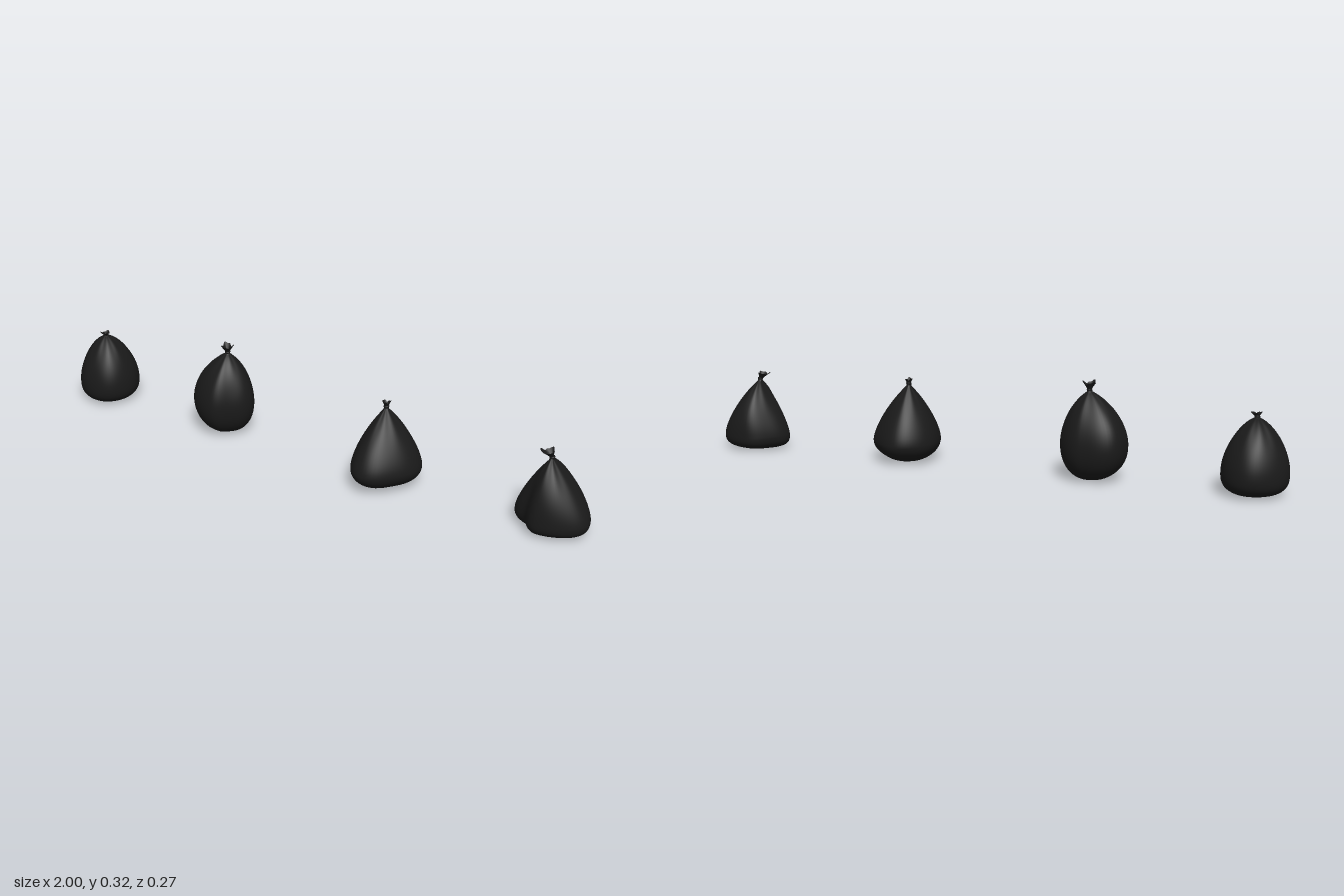
import * as THREE from 'three';

// Each bag: neck position, belly and neck heights, base roundness, reach from the neck
// [right, left, front, back], fullness at the four diagonals (+x+z, -x+z, -x-z, +x-z),
// shoulder taper seen from the front and from the side, and tuft [radius, height, lean x, lean z].
const BAGS = [
  { name: 'bagFarRight', x: -0.89, z: -0.02, belly: 0.07, neck: 0.242, base: 3,
    reach: [0.104, 0.107, 0.1, 0.118], diag: [1.02, 0.96, 0.98, 1.02],
    sideTaper: [1.8, 0.7], depthTaper: [1.8, 0.7], tuft: [0.016, 0.013, 0.004, 0.006] },
  { name: 'bagInnerRight', x: -0.357, z: -0.04, belly: 0.115, neck: 0.29, base: 2.2,
    reach: [0.095, 0.126, 0.11, 0.094], diag: [0.87, 1, 1.12, 0.92],
    sideTaper: [1.9, 0.8], depthTaper: [1.9, 0.8], tuft: [0.021, 0.027, 0, 0.002] },
  { name: 'bagInnerLeft', x: 0.29, z: -0.015, belly: 0.07, neck: 0.263, base: 2.1,
    reach: [0.125, 0.101, 0.15, 0.122], diag: [0.9, 0.96, 1, 0.93],
    sideTaper: [1.5, 0.95], depthTaper: [1.5, 0.95], tuft: [0.013, 0.018, 0, 0] },
  { name: 'bagFarLeft', x: 0.865, z: -0.02, belly: 0.05, neck: 0.242, base: 3,
    reach: [0.134, 0.108, 0.09, 0.112], diag: [0.98, 0.76, 0.88, 1],
    sideTaper: [1.4, 0.95], depthTaper: [2.1, 0.8], tuft: [0.021, 0.022, -0.012, 0.006] },
];
const BASE_SHARE = 0.4; // share of the rings lying below the belly
const NECK_RADIUS = 0.008;

// Skin closed rings; pointAt(t, angle) gives the surface, t running from bottom to top
function loft(rings, sides, pointAt) {
  const pos = [], index = [];
  for (let i = 0; i <= rings; i++) {
    for (let j = 0; j < sides; j++) {
      pos.push(...pointAt(i / rings, (j / sides) * Math.PI * 2));
      if (i === rings) continue;
      const a = i * sides + j, b = i * sides + (j + 1) % sides;
      index.push(a, a + sides, b, b, a + sides, b + sides);
    }
  }
  const geo = new THREE.BufferGeometry();
  geo.setAttribute('position', new THREE.Float32BufferAttribute(pos, 3));
  geo.setIndex(index);
  geo.computeVertexNormals();
  return geo;
}

// Height of a ring, and its width as a share of the reach in both directions
function ringAt({ belly, neck, base, sideTaper, depthTaper }, t) {
  if (t < BASE_SHARE) {
    const v = Math.cos((t / BASE_SHARE) * Math.PI / 2);
    const width = (1 - v ** base) ** (1 / base);
    return { y: belly * (1 - v), side: width, depth: width, floor: 0 };
  }
  const u = Math.min(1, Math.sin(((t - BASE_SHARE) / (1 - BASE_SHARE)) * Math.PI / 2));
  const taper = ([p, q]) => (1 - u ** p) ** q;
  return { y: belly + (neck - belly) * u, side: taper(sideTaper), depth: taper(depthTaper), floor: NECK_RADIUS };
}

function makeBag(spec, seed, plastic) {
  const { neck, reach, diag } = spec;
  const [tuftRadius, tuftHeight, leanX, leanZ] = spec.tuft;
  const bag = new THREE.Group();
  bag.name = spec.name;
  bag.position.set(spec.x, 0, spec.z);

  // Sagging sack, with soft folds gathering towards the neck
  const sack = new THREE.Mesh(loft(40, 64, (t, angle) => {
    const ring = ringAt(spec, t);
    const c = Math.cos(angle), s = Math.sin(angle);
    const quadrant = Math.floor(angle / (Math.PI / 2));
    const top = THREE.MathUtils.smoothstep(t, 0.5, 0.95);
    const corner = 1 + (diag[quadrant] - 1) * Math.sin(2 * angle) ** 2 * (1 - top);
    const fold = 1 + 0.035 * top * Math.sin(9 * angle + seed)
      + 0.01 * Math.sin(5 * angle + seed * 2 + t * 4);
    const halfX = Math.max(ring.floor, ring.side * reach[c > 0 ? 0 : 1]);
    const halfZ = Math.max(ring.floor, ring.depth * reach[s > 0 ? 2 : 3]);
    return [c * corner * fold * halfX, ring.y, s * corner * fold * halfZ];
  }), plastic);
  sack.name = 'sack';

  // Twisted knot round the neck
  const knot = new THREE.Mesh(new THREE.TorusGeometry(0.006, 0.0035, 8, 20), plastic);
  knot.name = 'knot';
  knot.rotation.set(Math.PI / 2 + 0.15, 0.1, 0);
  knot.position.y = neck + 0.001;

  // Ragged flared tuft above the knot
  const tuft = new THREE.Mesh(loft(8, 36, (t, angle) => {
    const ruffle = Math.sin(3 * angle + seed) + 0.5 * Math.sin(7 * angle + seed * 3);
    const r = 0.005 + (tuftRadius - 0.005) * t ** 1.3 * (1 + 0.22 * ruffle);
    return [Math.cos(angle) * r + leanX * t,
      neck - 0.002 + tuftHeight * t * (1 + 0.16 * t * ruffle),
      Math.sin(angle) * r + leanZ * t];
  }), plastic);
  tuft.name = 'tuft';

  bag.add(sack, knot, tuft);
  return bag;
}

export function createModel() {
  const plastic = new THREE.MeshStandardMaterial({ color: 0x1a1a1a, side: THREE.DoubleSide });
  plastic.name = 'black plastic';
  const model = new THREE.Group();
  model.name = 'rubbishBags';
  BAGS.forEach((spec, i) => model.add(makeBag(spec, i * 1.7 + 0.6, plastic)));
  return model;
}
